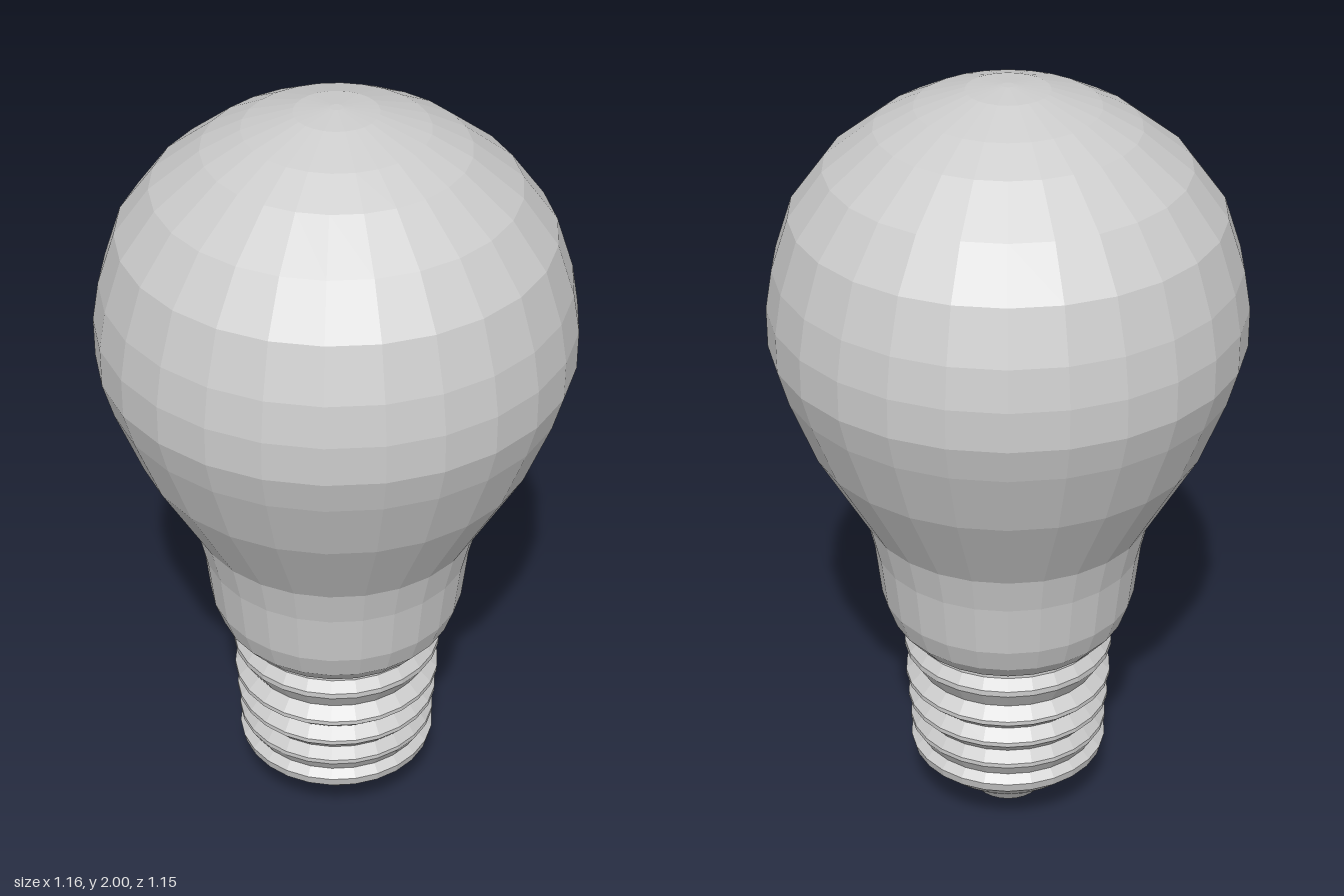
import * as THREE from 'three';

const SIDES = 26;
const material = new THREE.MeshStandardMaterial({ color: 0xcccccc, flatShading: true });

// Turns a [radius, height] profile, listed bottom to top, into a faceted part
function turned(name, profile) {
  const points = profile.map(([r, y]) => new THREE.Vector2(r, y));
  const mesh = new THREE.Mesh(new THREE.LatheGeometry(points, SIDES, Math.PI / 2), material);
  mesh.name = name;
  return mesh;
}

export function createModel() {
  const model = new THREE.Group();
  model.name = 'lightBulb';

  // Pear-shaped glass, from the flared collar up to the crown
  model.add(turned('glassBulb', [
    [0.235, 0.52], [0.262, 0.53], [0.3, 0.575], [0.323, 0.64], [0.338, 0.775], [0.36, 0.87],
    [0.49, 1.1], [0.555, 1.27], [0.58, 1.36], [0.58, 1.46], [0.563, 1.56], [0.52, 1.69],
    [0.435, 1.805], [0.315, 1.9], [0.22, 1.95], [0.1, 1.99], [0.015, 2], [0, 2],
  ]));

  // Screw base: a wide top ridge, then evenly spaced narrow ridges
  const thread = [[0.235, 0.205]];
  for (let i = 0; i < 3; i++) {
    const y = 0.245 + i * 0.07;
    thread.push([0.256 + i * 0.005, y - 0.006], [0.256 + i * 0.005, y + 0.006], [0.235, y + 0.035]);
  }
  thread.push([0.236, 0.42], [0.268, 0.47], [0.268, 0.485], [0.247, 0.512], [0.247, 0.522], [0.235, 0.525]);
  model.add(turned('screwThread', thread));

  // Tapered insulator under the thread
  model.add(turned('baseCone', [
    [0.11, 0.04], [0.19, 0.105], [0.25, 0.16], [0.256, 0.185], [0.235, 0.205],
  ]));

  // Electrical contact at the very bottom
  model.add(turned('contactTip', [[0, 0], [0.07, 0.002], [0.09, 0.012], [0.11, 0.04]]));

  return model;
}
